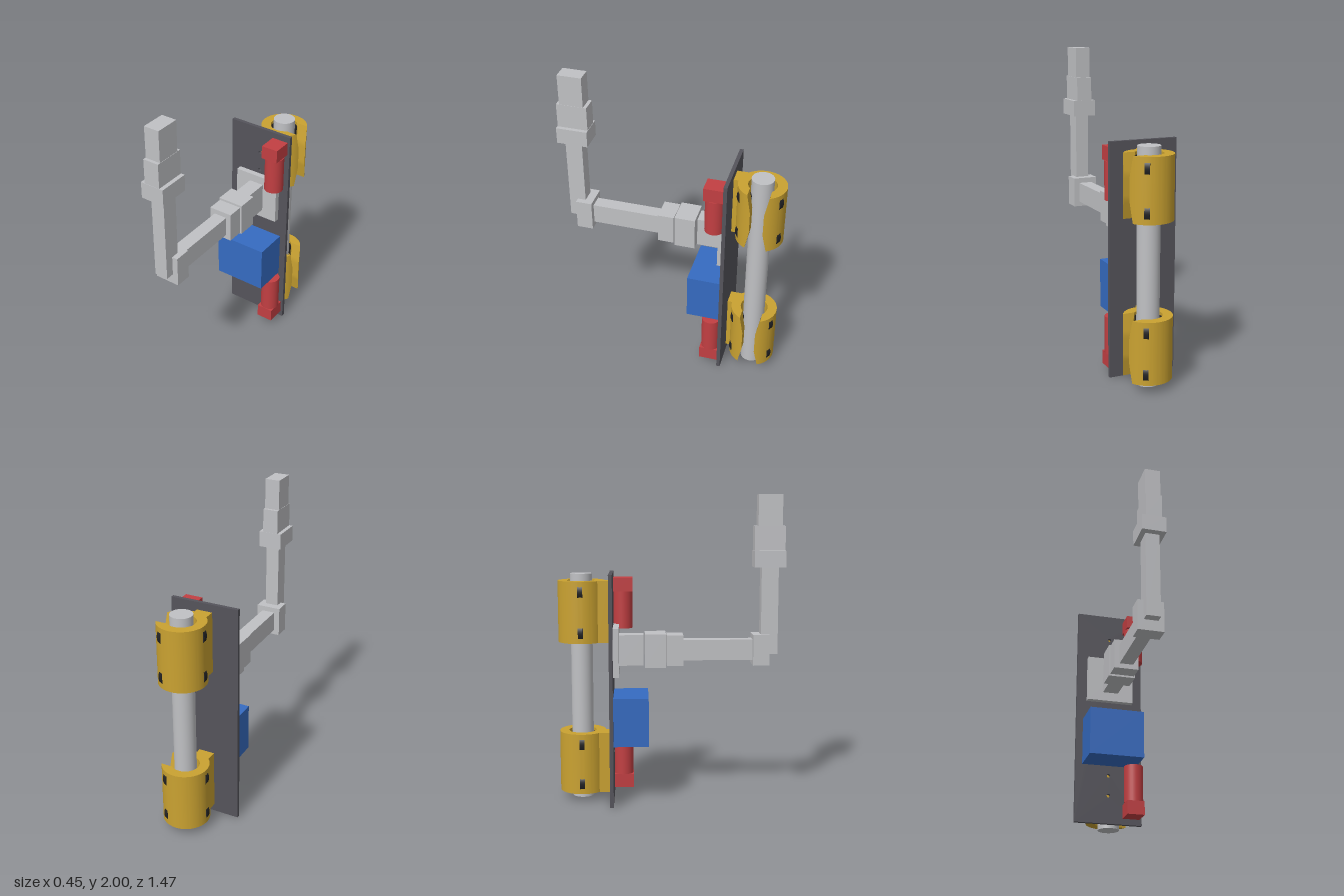
import * as THREE from 'three';
import { toCreasedNormals } from 'three/addons/utils/BufferGeometryUtils.js';

const mat = (name, color) => Object.assign(new THREE.MeshStandardMaterial({ color }), { name });

export function createModel() {
  const model = new THREE.Group();
  model.name = 'poleClimbingArm';
  const grey = mat('lightGrey', 0xc0c1c4);
  const dark = mat('darkGrey', 0x55545b);
  const gold = mat('gold', 0xcaa231);
  const red = mat('red', 0xc23f42);
  const blue = mat('blue', 0x356bc1);
  const black = mat('black', 0x222224);

  const add = (parent, name, geometry, material, x = 0, y = 0, z = 0) => {
    const mesh = new THREE.Mesh(geometry, material);
    mesh.name = name;
    mesh.position.set(x, y, z);
    parent.add(mesh);
    return mesh;
  };
  // Box given by its limits on each axis
  const box = (parent, name, material, [x0, x1], [y0, y1], [z0, z1]) =>
    add(parent, name, new THREE.BoxGeometry(x1 - x0, y1 - y0, z1 - z0), material,
      (x0 + x1) / 2, (y0 + y1) / 2, (z0 + z1) / 2);

  // Back plate with four screw holes
  const plate = new THREE.Shape([[-0.225, 0], [0.225, 0], [0.225, 1.5], [-0.225, 1.5]]
    .map(([x, y]) => new THREE.Vector2(x, y)));
  for (const y of [0.187, 0.322, 1.183, 1.318]) {
    plate.holes.push(new THREE.Path().absarc(0, y, 0.012, 0, Math.PI * 2, true));
  }
  add(model, 'backPlate', new THREE.ExtrudeGeometry(plate, { depth: 0.024, bevelEnabled: false }),
    dark, 0, 0, -0.402);

  // Pole held by the clamps
  const cx = 0.052, cz = -0.585;
  add(model, 'pole', new THREE.CylinderGeometry(0.071, 0.071, 1.485, 48), grey, cx, 0.7525, cz);

  // C-shaped clamp body whose opening flares towards both ends
  const R = 0.152, r = 0.09, gap = 0.043, H = 0.4;
  const aOut = Math.asin(gap / R), aIn = Math.asin(gap / r);
  const ring = new THREE.Shape();
  ring.absarc(0, 0, R, aOut, Math.PI * 2 - aOut, false);
  ring.absarc(0, 0, r, Math.PI * 2 - aIn, aIn, true);
  let clampGeo = new THREE.ExtrudeGeometry(ring, { depth: H, steps: 16, curveSegments: 48, bevelEnabled: false });
  clampGeo.translate(0, 0, -H / 2);
  const p = clampGeo.attributes.position;
  for (let i = 0; i < p.count; i++) {
    const x = p.getX(i), y = p.getY(i);
    const flare = Math.max(0, Math.abs(p.getZ(i)) - 0.075) / 0.125;
    const half = gap + 0.025 * flare;
    if (x > 0 && Math.abs(y) < half) {
      p.setXY(i, Math.sqrt(x * x + y * y - half * half), Math.sign(y) * half);
    }
  }
  clampGeo.rotateX(-Math.PI / 2);
  clampGeo = toCreasedNormals(clampGeo, 0.5);

  // Roller wheel: its axle is tangent to the ring
  const wheelGeo = new THREE.CylinderGeometry(0.043, 0.043, 0.032, 32);
  wheelGeo.rotateX(Math.PI / 2).scale(1, 1.4, 1);

  for (const [side, y] of [['upper', 1.25], ['lower', 0.254]]) {
    const clamp = new THREE.Group();
    clamp.name = side + 'Clamp';
    clamp.position.set(cx, y, cz);
    model.add(clamp);
    add(clamp, 'clampRing', clampGeo, gold);
    box(clamp, 'clampStem', gold, [-0.106, -0.002], [-H / 2, H / 2], [0.11, 0.183]);
    for (const angle of [60, 180, 300]) {
      const spoke = new THREE.Group();
      spoke.name = 'rollerPair';
      spoke.rotation.y = THREE.MathUtils.degToRad(angle);
      clamp.add(spoke);
      for (const dy of [-0.132, 0.132]) add(spoke, 'roller', wheelGeo, black, 0.116, dy, 0);
    }
  }

  // Motors: a round body with a square gearbox at the outer end
  const motor = (name, body, head) => {
    const g = new THREE.Group();
    g.name = name;
    model.add(g);
    add(g, 'motorBody', new THREE.CylinderGeometry(0.063, 0.063, body[1] - body[0], 32),
      red, 0.153, (body[0] + body[1]) / 2, -0.315);
    box(g, 'motorGearbox', red, [0.094, 0.209], head, [-0.378, -0.25]);
  };
  motor('upperMotor', [1.125, 1.37], [1.37, 1.46]);
  motor('lowerMotor', [0.13, 0.376], [0.04, 0.13]);

  // Control box
  box(model, 'controlBox', blue, [-0.18, 0.18], [0.39, 0.706], [-0.378, -0.15]);

  // Arm: name, half width, y limits, z limits
  const arm = new THREE.Group();
  arm.name = 'arm';
  model.add(arm);
  for (const [name, w, ys, zs] of [
    ['armBase', 0.157, [0.84, 1.155], [-0.378, -0.34]],
    ['shoulderMount', 0.052, [0.9, 1.1], [-0.34, -0.18]],
    ['shoulderJoint', 0.088, [0.89, 1.11], [-0.172, -0.036]],
    ['upperArmCollar', 0.08, [0.9, 1.1], [-0.03, 0.077]],
    ['upperArm', 0.045, [0.932, 1.066], [0.077, 0.53]],
    ['elbow', 0.083, [0.9, 1.1], [0.53, 0.637]],
    ['forearm', 0.045, [0.97, 1.536], [0.583, 0.693]],
    ['wrist', 0.078, [1.536, 1.642], [0.533, 0.735]],
    ['gripperBase', 0.052, [1.642, 1.8], [0.535, 0.733]],
    ['gripper', 0.05, [1.8, 2], [0.557, 0.713]],
  ]) box(arm, name, grey, [-w, w], ys, zs);

  return model;
}
